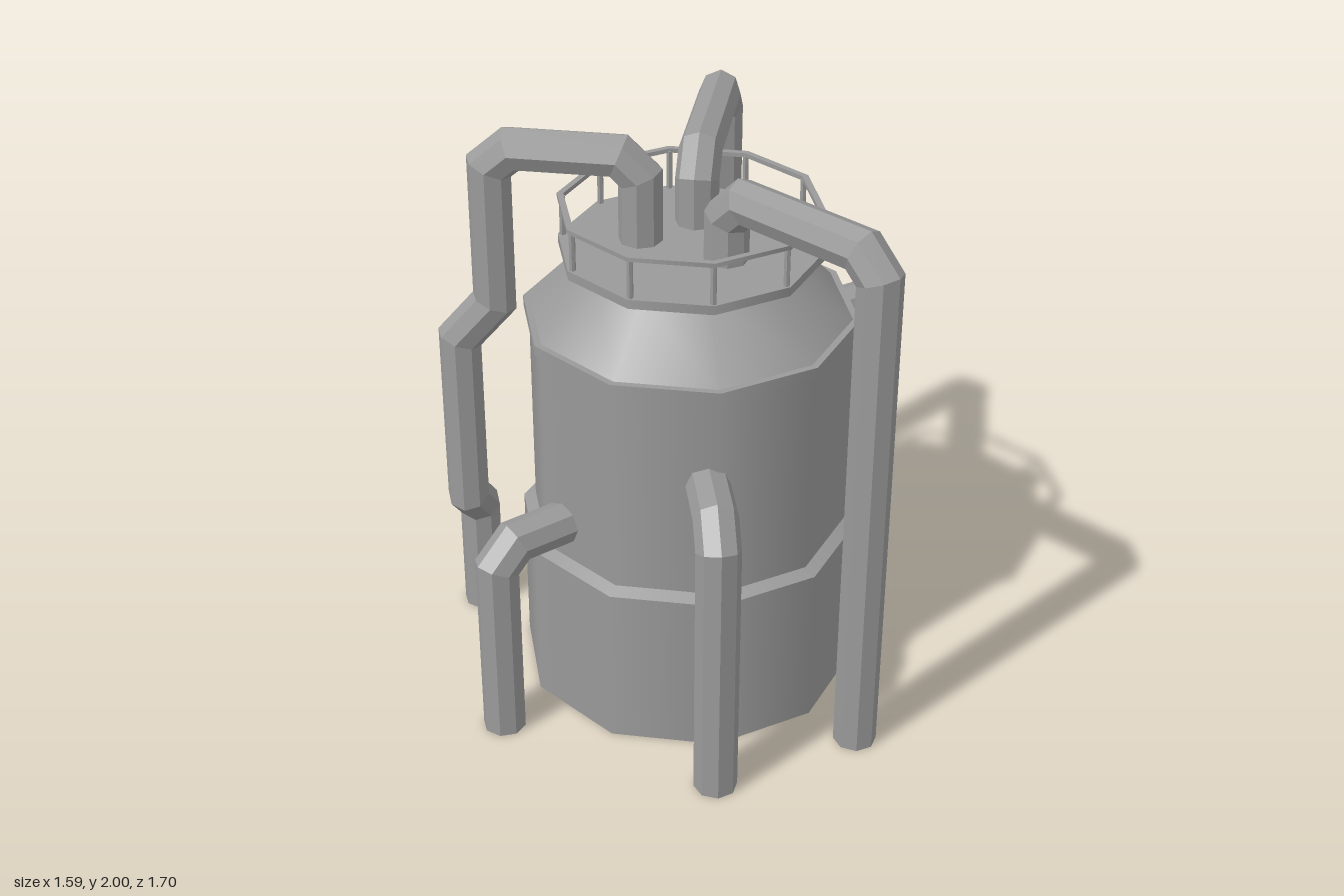
import * as THREE from 'three';
import { mergeGeometries } from 'three/addons/utils/BufferGeometryUtils.js';

const SIDES = 10;              // the tank is a ten-sided drum
const CX = 0.075, CZ = 0.014;  // tank axis
const PIPE_R = 0.074, PIPE_SIDES = 8;
const STEEL = 0x9a9a9a;        // dark grey metal

const smoothMat = new THREE.MeshStandardMaterial({ color: STEEL, side: THREE.DoubleSide });
const flatMat = new THREE.MeshStandardMaterial({ color: STEEL, side: THREE.DoubleSide, flatShading: true });

// Turned shell: each profile step is its own strip, so profile corners stay sharp
function shell(name, profile) {
  const strips = [];
  for (let i = 0; i < profile.length - 1; i++) {
    const pts = [profile[i], profile[i + 1]].map(([r, y]) => new THREE.Vector2(r, y));
    strips.push(new THREE.LatheGeometry(pts, SIDES, Math.PI / 2));
  }
  const mesh = new THREE.Mesh(mergeGeometries(strips), smoothMat);
  mesh.name = name;
  return mesh;
}

// Octagonal pipe with mitred joints; it starts going straight up
function pipe(name, points, side) {
  const path = points.map((p) => new THREE.Vector3(...p));
  const n = path.length;
  const dirs = path.slice(1).map((p, i) => p.clone().sub(path[i]).normalize());
  const v = dirs[0].clone().cross(side);
  let ring = [];
  for (let k = 0; k < PIPE_SIDES; k++) {
    const a = (k / PIPE_SIDES) * Math.PI * 2;
    ring.push(path[0].clone()
      .addScaledVector(side, Math.cos(a) * PIPE_R)
      .addScaledVector(v, Math.sin(a) * PIPE_R));
  }
  const pos = [], index = [];
  for (let i = 0; i < n; i++) {
    if (i > 0) {
      // slide the ring along the segment onto the mitre plane
      const d = dirs[i - 1];
      const normal = d.clone().add(dirs[Math.min(i, n - 2)]).normalize();
      ring = ring.map((q) => {
        const t = path[i].clone().sub(q).dot(normal) / d.dot(normal);
        return q.clone().addScaledVector(d, t);
      });
    }
    ring.forEach((q) => pos.push(q.x, q.y, q.z));
    if (i === n - 1) continue;
    for (let k = 0; k < PIPE_SIDES; k++) {
      const a = i * PIPE_SIDES + k;
      const b = i * PIPE_SIDES + ((k + 1) % PIPE_SIDES);
      index.push(a, b, b + PIPE_SIDES, a, b + PIPE_SIDES, a + PIPE_SIDES);
    }
  }
  const geo = new THREE.BufferGeometry();
  geo.setAttribute('position', new THREE.Float32BufferAttribute(pos, 3));
  geo.setIndex(index);
  geo.computeVertexNormals();
  const mesh = new THREE.Mesh(geo, flatMat);
  mesh.name = name;
  return mesh;
}

// Pipe rising at (x, z), bending level at height y and running to (ex, ez);
// with dropTo it bends down again at the far end
function bentPipe(name, x, z, y, ex, ez, dropTo) {
  const bevel = 0.075;
  const dir = new THREE.Vector3(ex - x, 0, ez - z).normalize();
  const points = [[x, 0, z], [x, y - bevel, z], [x + dir.x * bevel, y, z + dir.z * bevel]];
  if (dropTo === undefined) {
    points.push([ex, y, ez]);
  } else {
    points.push([ex - dir.x * bevel, y, ez - dir.z * bevel], [ex, y - bevel, ez], [ex, dropTo, ez]);
  }
  return pipe(name, points, dir);
}

export function createModel() {
  const model = new THREE.Group();
  model.name = 'storageTank';

  // Tank, open underneath
  const tank = new THREE.Group();
  tank.name = 'tank';
  tank.position.set(CX, 0, CZ);
  tank.add(
    shell('baseSkirt', [[0.592, 0], [0.592, 0.585], [0.55, 0.605]]),
    shell('body', [[0.55, 0.605], [0.55, 1.355]]),
    shell('shoulderBand', [[0.55, 1.355], [0.568, 1.355], [0.568, 1.39], [0.545, 1.39]]),
    shell('shoulder', [[0.545, 1.39], [0.345, 1.6]]),
    shell('deck', [[0.345, 1.6], [0.442, 1.6], [0.442, 1.632], [0, 1.632]]),
    shell('handrail', [[0.42, 1.765], [0.442, 1.765], [0.442, 1.78], [0.42, 1.78], [0.42, 1.765]]),
  );

  // Handrail posts at the corners
  const postGeo = new THREE.CylinderGeometry(0.011, 0.011, 0.14, 6);
  for (let i = 0; i < SIDES; i++) {
    const a = (i / SIDES) * Math.PI * 2;
    const post = new THREE.Mesh(postGeo, flatMat);
    post.name = 'railPost';
    post.position.set(Math.cos(a) * 0.425, 1.7, Math.sin(a) * 0.425);
    tank.add(post);
  }
  model.add(tank);

  // Pipes that arch over into the deck
  model.add(
    bentPipe('frontTopPipe', 0.722, 0.468, 1.857, 0.207, 0.108, 1.62),
    bentPipe('backTopPipe', 0.074, -0.779, 1.86, 0.074, -0.148, 1.62),
    pipe('rightTopPipe', [
      [-0.721, 0, -0.137], [-0.721, 0.43, -0.137], [-0.721, 0.57, 0.012],
      [-0.721, 1.21, 0.012], [-0.592, 1.363, 0.012], [-0.592, 1.86, 0.012],
      [-0.516, 1.926, 0.012], [-0.16, 1.926, 0.012], [-0.09, 1.857, 0.012],
      [-0.09, 1.62, 0.012],
    ], new THREE.Vector3(1, 0, 0)),
  );

  // Side pipes: foot x, foot z, height of the level run towards the tank axis
  const sidePipes = [
    ['frontSidePipe', 0.28, 0.78, 1.024],
    ['frontRightSidePipe', -0.487, 0.575, 0.738],
    ['backLeftSidePipe', 0.681, -0.496, 1.215],
    ['backRightSidePipe', -0.318, -0.674, 0.87],
  ];
  for (const [name, x, z, y] of sidePipes) {
    const k = 0.49 / Math.hypot(x - CX, z - CZ);
    model.add(bentPipe(name, x, z, y, CX + (x - CX) * k, CZ + (z - CZ) * k));
  }
  return model;
}
